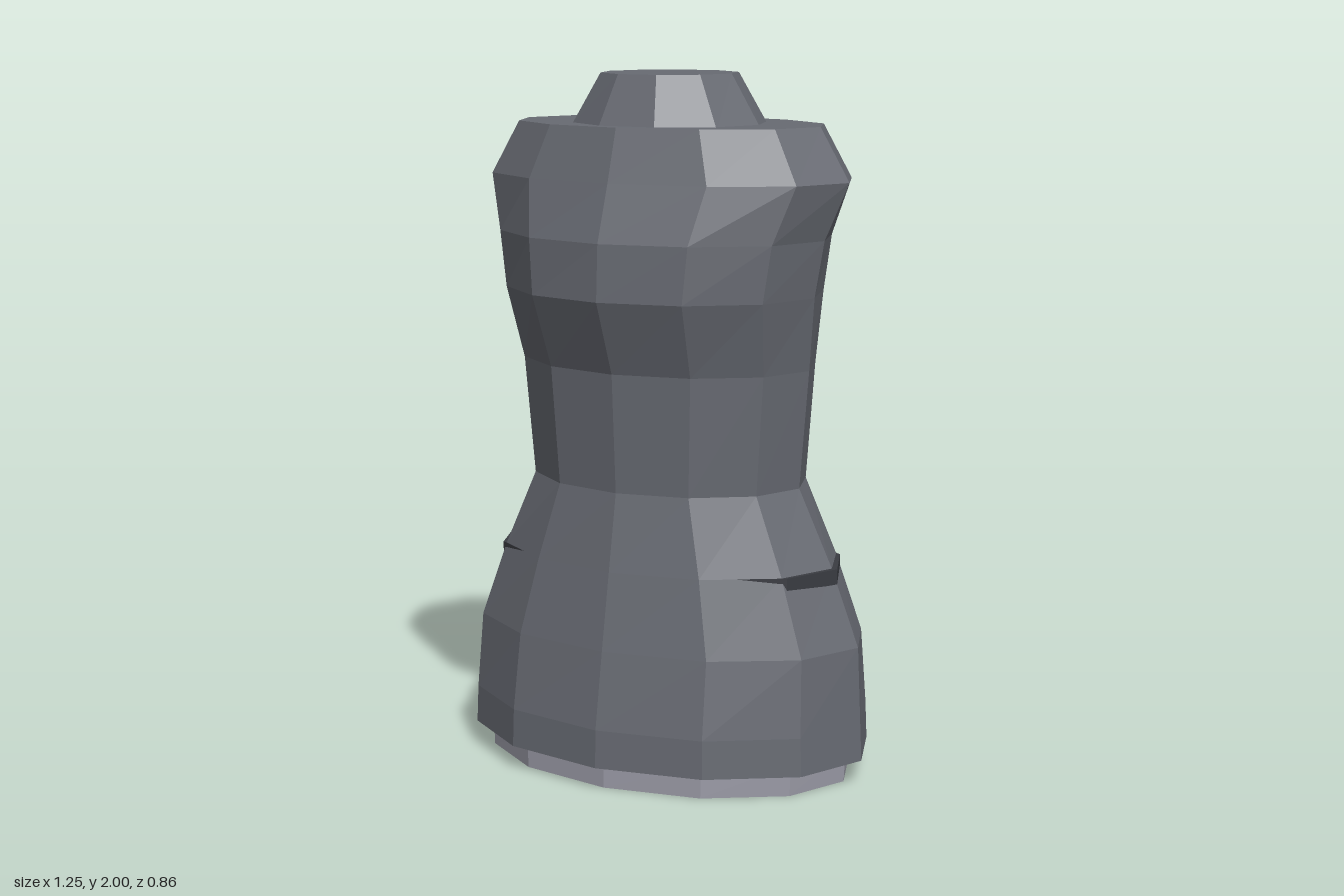
import * as THREE from 'three';

const flat = (name, color) => {
  const m = new THREE.MeshStandardMaterial({ color, flatShading: true });
  m.name = name;
  return m;
};

// Stacked elliptical rings, bottom to top: [y, half width x, half depth z, centre z]
function loft(name, rings, sides, material) {
  const n = rings.length - 1;
  const geo = new THREE.CylinderGeometry(1, 1, n, sides, n, false, Math.PI / 2);
  const pos = geo.attributes.position;
  for (let i = 0; i < pos.count; i++) {
    const [y, rx, rz, cz = 0] = rings[Math.round(pos.getY(i) + n / 2)];
    pos.setXYZ(i, pos.getX(i) * rx, y, pos.getZ(i) * rz + cz);
  }
  geo.computeVertexNormals();
  const mesh = new THREE.Mesh(geo, material);
  mesh.name = name;
  return mesh;
}

export function createModel() {
  const cloth = flat('slate grey', 0x686b73);
  const pale = flat('pale grey', 0x9c9ca8);
  const dark = flat('dark grey', 0x3a3c42);

  const group = new THREE.Group();
  group.name = 'torso';
  group.add(
    // Pale lining showing under the hem
    loft('lining', [[0, 0.57, 0.385], [0.09, 0.575, 0.385]], 12, pale),
    // Flared skirt, waist, chest and shoulders
    loft('body', [
      [0.07, 0.625, 0.43],
      [0.18, 0.62, 0.427],
      [0.4, 0.61, 0.39],
      [0.62, 0.525, 0.35],
      [0.84, 0.42, 0.31],
      [1.18, 0.45, 0.325, 0.005],
      [1.39, 0.478, 0.378, 0.033],
      [1.55, 0.505, 0.374, 0.029],
      [1.71, 0.565, 0.348],
      [1.86, 0.475, 0.302],
    ], 12, cloth),
    // Belt that only emerges at the hips
    loft('belt', [[0.55, 0.542, 0.34], [0.62, 0.542, 0.34]], 12, dark),
    // Tapered ten-sided collar
    loft('collar', [[1.85, 0.29, 0.262], [2, 0.198, 0.195]], 10, cloth),
  );
  return group;
}
